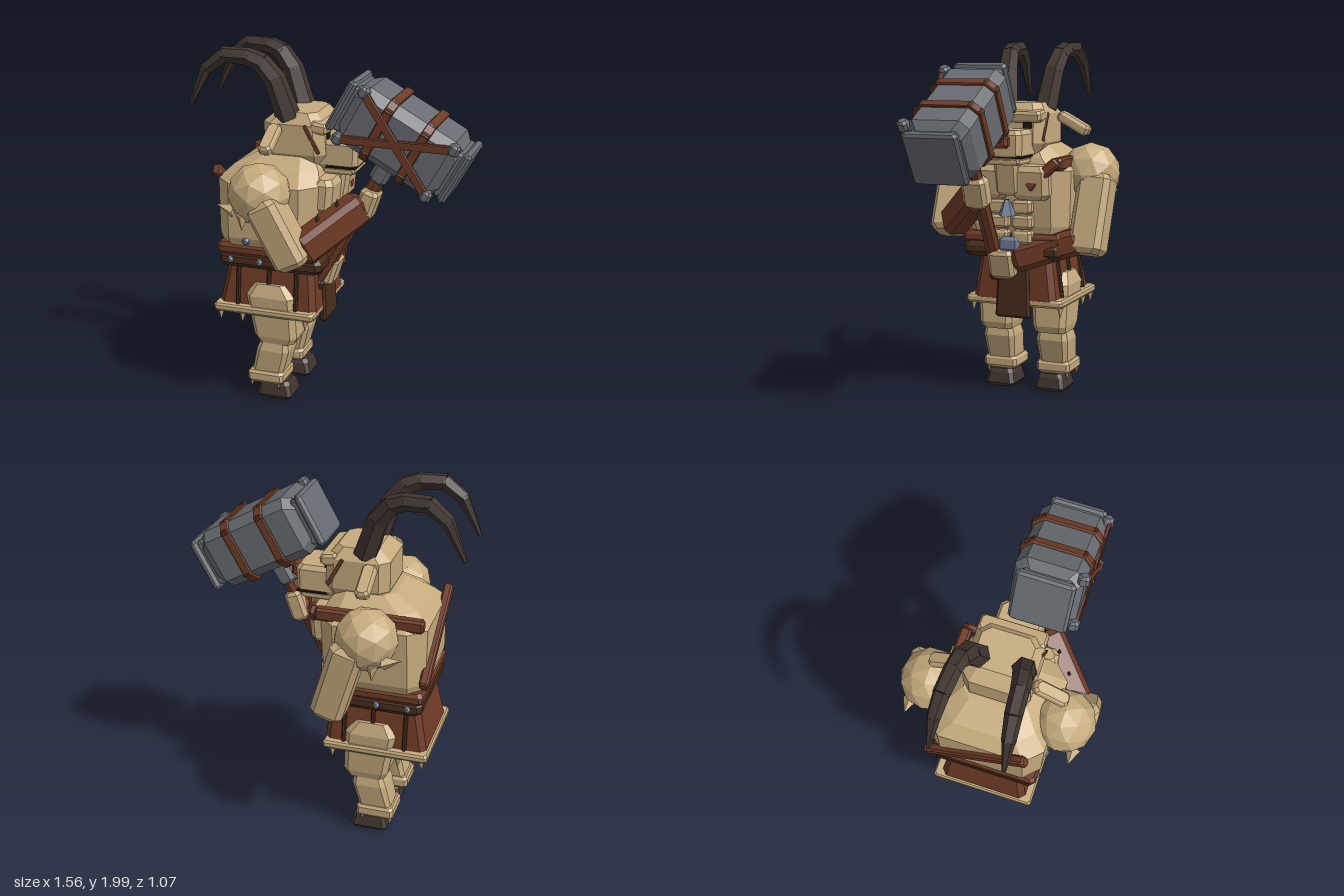
import * as THREE from 'three';

const mat = (name, color) => {
  const m = new THREE.MeshStandardMaterial({ color, flatShading: true });
  m.name = name;
  return m;
};
const V = (x, y, z) => new THREE.Vector3(x, y, z);

// Octagonal loft: each ring is [y, x0, x1, z0, z1, corner cut]
function loft(rings) {
  const loops = rings.map(([y, x0, x1, z0, z1, c]) => [
    V(x1, y, z0 + c), V(x1, y, z1 - c), V(x1 - c, y, z1), V(x0 + c, y, z1),
    V(x0, y, z1 - c), V(x0, y, z0 + c), V(x0 + c, y, z0), V(x1 - c, y, z0)]);
  const pts = [], last = loops[loops.length - 1];
  for (let r = 0; r + 1 < loops.length; r++) {
    const a = loops[r], b = loops[r + 1];
    for (let i = 0; i < 8; i++) {
      const j = (i + 1) % 8;
      pts.push(a[i], b[i], b[j], a[i], b[j], a[j]);
    }
  }
  for (let i = 1; i < 7; i++) pts.push(loops[0][0], loops[0][i], loops[0][i + 1], last[0], last[i + 1], last[i]);
  const g = new THREE.BufferGeometry().setFromPoints(pts);
  g.computeVertexNormals();
  return g;
}
// Bevelled block, optionally tapered towards the top
function block(w, h, d, c = 0.02, top = 1) {
  const ring = (y, s, k) => [y, -w / 2 * s + k, w / 2 * s - k, -d / 2 * s + k, d / 2 * s - k, c];
  return loft([ring(-h / 2, 1, c * 0.7), ring(-h / 2 + c, 1, 0), ring(h / 2 - c, top, 0), ring(h / 2, top, c * 0.7)]);
}

export function createModel() {
  const root = new THREE.Group();
  root.name = 'hornedHammerBeast';
  const fur = mat('tan fur', 0xc6ab7e), leather = mat('red brown leather', 0x6f3b26),
    dark = mat('dark leather', 0x4a2e1c), horn = mat('horn', 0x40352f),
    stone = mat('grey stone', 0x686c72), metal = mat('blue grey metal', 0x74809a), black = mat('eye black', 0x1c1614);

  const add = (name, geo, m, x = 0, y = 0, z = 0, rx = 0, ry = 0, rz = 0, parent = root) => {
    const mesh = new THREE.Mesh(geo, m);
    mesh.name = name;
    mesh.position.set(x, y, z);
    mesh.rotation.set(rx, ry, rz);
    parent.add(mesh);
    return mesh;
  };
  // Block stretched from point a to point b
  const limb = (name, a, b, w, d, m, hint = V(0, 0, 1), top = 1, c = 0.03) => {
    const Y = b.clone().sub(a), len = Y.length();
    Y.normalize();
    const X = Y.clone().cross(hint).normalize(), Z = X.clone().cross(Y);
    const mesh = add(name, block(w, len, d, c, top), m);
    mesh.quaternion.setFromRotationMatrix(new THREE.Matrix4().makeBasis(X, Y, Z));
    mesh.position.copy(a).add(b).multiplyScalar(0.5);
    return mesh;
  };

  // Torso with chest and belly plates
  add('torso', loft([[0.88, -0.58, -0.06, -0.27, 0.27, 0.07], [0.98, -0.6, -0.04, -0.31, 0.31, 0.08],
    [1.29, -0.6, -0.02, -0.32, 0.32, 0.09], [1.36, -0.53, -0.05, -0.25, 0.25, 0.08],
    [1.43, -0.4, -0.1, -0.17, 0.17, 0.05]]), fur);
  for (const s of [-1, 1]) {
    add('chestPlate', block(0.12, 0.19, 0.22, 0.03), fur, -0.02, 1.23, s * 0.125, 0, 0, -0.1);
    for (let i = 0; i < 3; i++) add('bellyPlate', block(0.08, 0.075, 0.12, 0.015), fur, -0.03, 1.09 - i * 0.085, s * 0.07);
  }
  add('beard', block(0.1, 0.24, 0.14, 0.02, 1), fur, 0.01, 1.28, 0, 0, 0, -0.15);
  add('pendant', new THREE.CylinderGeometry(0.015, 0.05, 0.09, 5), metal, 0.035, 1.09, 0);

  // Harness straps
  limb('shoulderStrap', V(-0.59, 1.33, -0.27), V(-0.01, 1.33, -0.27), 0.07, 0.06, leather, V(0, 0, 1), 1, 0.012);
  limb('chestStrap', V(0, 1.35, -0.28), V(0.025, 1.2, -0.12), 0.04, 0.06, leather, V(0, 0, 1), 1, 0.01);
  limb('backStrap', V(-0.605, 1.34, 0.25), V(-0.605, 1.0, -0.31), 0.05, 0.06, leather, V(0, 0, 1), 1, 0.01);

  // Belt, skirt and fur trim
  add('waistband', block(0.58, 0.07, 0.6, 0.02), leather, -0.31, 0.905, 0);
  add('belt', block(0.59, 0.085, 0.58, 0.025), dark, -0.3, 0.842, 0);
  add('buckle', block(0.04, 0.09, 0.13, 0.02), metal, 0.005, 0.88, 0);
  for (const s of [-1, 1]) for (const x of [-0.52, -0.35, -0.18])
    add('beltStud', new THREE.IcosahedronGeometry(0.021, 0), metal, x, 0.842, s * 0.29);
  add('torsoStud', new THREE.IcosahedronGeometry(0.025, 0), metal, -0.42, 0.965, 0.305);
  add('skirt', loft([[0.55, -0.62, -0.05, -0.25, 0.25, 0.03], [0.8, -0.57, -0.07, -0.215, 0.215, 0.03]]), leather);
  for (const s of [-1, 1]) for (const x of [-0.5, -0.32, -0.16])
    add('skirtFold', block(0.022, 0.24, 0.03, 0.006), dark, x, 0.67, s * 0.235, -s * 0.13);
  add('furTrim', block(0.585, 0.045, 0.58, 0.012), fur, -0.342, 0.545, 0);
  for (const s of [-1, 1]) for (const x of [-0.6, -0.47, -0.1])
    add('furTuft', new THREE.ConeGeometry(0.025, 0.08, 4), fur, x, 0.5, s * 0.265, Math.PI);
  add('loinFlap', block(0.04, 0.34, 0.21, 0.012, 0.85), dark, -0.06, 0.625, 0, 0, 0, 0.04);

  // Legs
  for (const s of [-1, 1]) {
    const z = s * 0.165;
    add('thigh', loft([[0.35, -0.39, -0.18, z - 0.09, z + 0.09, 0.03], [0.39, -0.41, -0.16, z - 0.1, z + 0.1, 0.03],
      [0.63, -0.45, -0.17, z - 0.11, z + 0.11, 0.03], [0.7, -0.41, -0.22, z - 0.085, z + 0.085, 0.03]]), fur);
    add('shin', loft([[0.12, -0.44, -0.26, z - 0.08, z + 0.08, 0.02], [0.3, -0.4, -0.21, z - 0.095, z + 0.095, 0.025],
      [0.37, -0.37, -0.22, z - 0.08, z + 0.08, 0.02]]), fur);
    add('ankleCuff', block(0.21, 0.07, 0.2, 0.015), fur, -0.345, 0.135, z);
    for (const x of [-0.43, -0.27])
      add('ankleTuft', new THREE.ConeGeometry(0.018, 0.06, 4), fur, x, 0.09, s * 0.245, Math.PI);
    add('hoof', block(0.21, 0.1, 0.18, 0.02, 0.85), horn, -0.305, 0.05, s * 0.155);
  }

  // Shoulders, arms and hands
  for (const s of [-1, 1]) {
    add('shoulder', new THREE.IcosahedronGeometry(0.17, 1), fur, -0.31, 1.265, s * 0.365);
    add('shoulderTuft', new THREE.ConeGeometry(0.04, 0.1, 4), fur, -0.47, 1.2, s * 0.45, 0, 0, 1.3);
    add('shoulderTuft', new THREE.ConeGeometry(0.035, 0.09, 4), fur, -0.37, 1.13, s * 0.47, Math.PI);
  }
  const up = V(0, 1, 0);
  limb('upperArm', V(-0.27, 1.26, 0.43), V(-0.09, 0.91, 0.41), 0.18, 0.2, fur);
  limb('bracer', V(-0.09, 0.97, 0.385), V(0.18, 1.18, 0.11), 0.15, 0.17, leather, up);
  limb('hand', V(0.18, 1.11, 0.105), V(0.235, 1.27, 0.105), 0.1, 0.14, fur, V(0, 0, 1), 1, 0.02);
  limb('upperArm', V(-0.25, 1.26, -0.43), V(-0.12, 0.83, -0.41), 0.18, 0.19, fur);
  limb('bracer', V(-0.12, 0.91, -0.37), V(-0.03, 0.79, -0.01), 0.14, 0.15, leather, up);
  limb('hand', V(-0.05, 0.69, 0.05), V(0.0, 0.85, 0.05), 0.1, 0.15, fur, V(0, 0, 1), 1, 0.02);
  for (const t of [0.3, 0.6]) {
    add('bracerSpike', new THREE.ConeGeometry(0.02, 0.08, 4), dark, -0.09 + 0.27 * t, 1.07 + 0.21 * t, 0.385 - 0.275 * t);
  }

  // Head
  add('skull', loft([[1.38, -0.35, -0.04, -0.14, 0.14, 0.04], [1.44, -0.37, -0.02, -0.18, 0.18, 0.05],
    [1.6, -0.37, -0.03, -0.18, 0.18, 0.05], [1.66, -0.3, -0.08, -0.14, 0.14, 0.04]]), fur);
  add('brow', block(0.1, 0.06, 0.36, 0.015), fur, -0.05, 1.59, 0, 0, 0, -0.15);
  add('muzzle', block(0.24, 0.16, 0.25, 0.025), fur, 0.03, 1.44, 0);
  add('mouth', block(0.17, 0.012, 0.26, 0.003), black, 0.06, 1.375, 0);
  add('jaw', block(0.18, 0.04, 0.22, 0.012), fur, 0.04, 1.35, 0);
  add('nose', block(0.06, 0.07, 0.13, 0.015), leather, 0.165, 1.46, 0);
  for (const s of [-1, 1]) {
    add('eye', block(0.008, 0.035, 0.05, 0.002), black, -0.016, 1.54, s * 0.1);
    add('facePaint', block(0.02, 0.17, 0.008, 0.002), leather, -0.085, 1.53, s * 0.18, 0, 0, 0.5);
    add('ear', block(0.075, 0.06, 0.2, 0.015), fur, -0.28, 1.54, s * 0.275, s * 0.5);
  }

  // Curved horns, stepped in six-sided segments
  const path = [[-0.235, 1.63, 0.12, 0.068], [-0.3, 1.83, 0.14, 0.06], [-0.37, 1.92, 0.155, 0.052],
    [-0.44, 1.948, 0.165, 0.047], [-0.57, 1.952, 0.175, 0.044], [-0.67, 1.875, 0.185, 0.036], [-0.762, 1.685, 0.19, 0.012]];
  for (const s of [-1, 1]) for (let i = 0; i + 1 < path.length; i++) {
    const [ax, ay, az, ar] = path[i], [bx, by, bz, br] = path[i + 1];
    const a = V(ax, ay, s * az), b = V(bx, by, s * bz), d = b.clone().sub(a), len = d.length();
    const seg = add('hornSegment', new THREE.CylinderGeometry(br, ar, len + 0.02, 6), horn);
    seg.position.copy(a).add(b).multiplyScalar(0.5);
    seg.quaternion.setFromUnitVectors(up, d.normalize());
  }

  // Stone hammer, built upright and tilted
  const hammer = new THREE.Group();
  hammer.name = 'hammer';
  hammer.position.set(0.4, 1.575, 0.1);
  hammer.rotation.z = -0.504;
  root.add(hammer);
  const part = (name, geo, m, x, y, z, rx = 0, ry = 0, rz = 0) => add(name, geo, m, x, y, z, rx, ry, rz, hammer);
  part('hammerHead', block(0.34, 0.61, 0.36, 0.05), stone, 0, 0, 0, 0, 0, Math.PI / 2);
  for (const s of [-1, 1]) {
    part('endNeck', block(0.06, 0.27, 0.27, 0.015), stone, s * 0.31, 0, 0);
    part('endPlate', block(0.045, 0.3, 0.31, 0.015), stone, s * 0.345, 0, 0);
    // Wrapped bands on four sides
    for (const t of [-1, 1]) {
      part('bandAcross', block(0.05, 0.018, 0.3, 0.005), leather, s * 0.11, t * 0.174, 0);
      part('bandUpright', block(0.05, 0.29, 0.018, 0.005), leather, s * 0.11, 0, t * 0.184);
      part('bandCorner', block(0.05, 0.018, 0.09, 0.005), leather, s * 0.11, t * 0.152, 0.162, t * Math.PI / 4);
      part('bandCorner', block(0.05, 0.018, 0.09, 0.005), leather, s * 0.11, t * 0.152, -0.162, -t * Math.PI / 4);
      part('cornerStud', block(0.06, 0.06, 0.06, 0.014), stone, s * 0.27, t * 0.145, 0.175);
    }
    part('crossStrap', block(0.6, 0.045, 0.022, 0.006), leather, 0, 0, 0.186, 0, 0, s * 0.493);
  }
  part('collar', block(0.1, 0.16, 0.1, 0.02), stone, 0, -0.22, 0);
  part('handle', new THREE.CylinderGeometry(0.042, 0.042, 0.8, 8), leather, 0, -0.61, 0);
  part('pommel', block(0.09, 0.06, 0.09, 0.015), dark, 0, -1.0, 0);

  return root;
}
